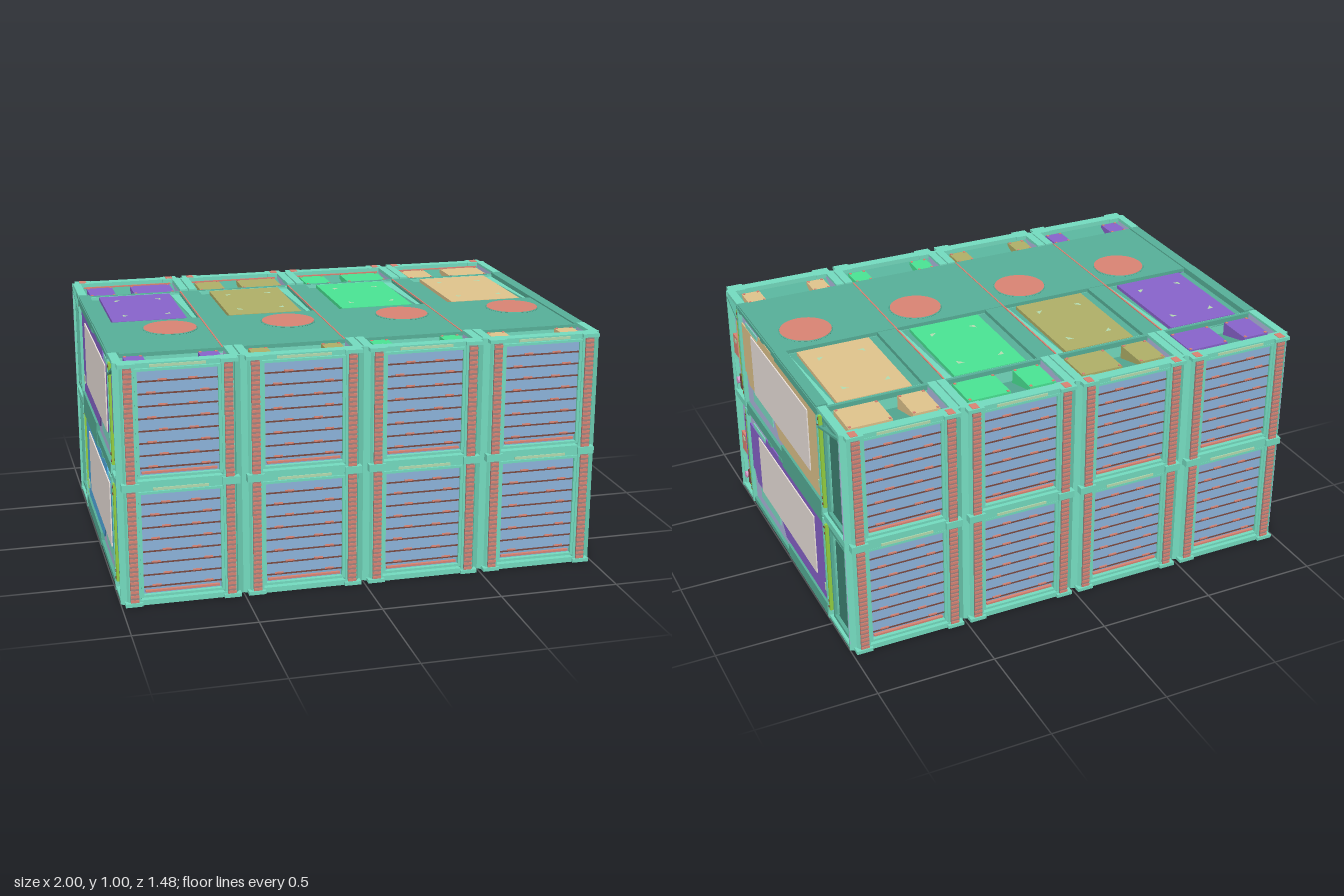
import * as THREE from 'three';
import { mergeGeometries } from 'three/addons/utils/BufferGeometryUtils.js';

const C = { teal: 0x74dcc0, dark: 0x57b099, deep: 0x3f8474, blue: 0x88aed4, red: 0xda8474, brown: 0x7a4a42, lilac: 0xb0bae0,
  lime: 0x94d040, mint: 0x80e0c8, pale: 0xb4dcb0, white: 0xeee4de, pink: 0xd89ccc, strip: 0xa08480 };
const UNIT_COLORS = [0x8864cc, 0xb0b068, 0x4ae494, 0xe0c48c];
const mats = {};
const mat = (color) => mats[color] ??= new THREE.MeshStandardMaterial({ color, side: THREE.DoubleSide, flatShading: true });

function mesh(parent, name, color, geo) {
  const m = new THREE.Mesh(Array.isArray(geo) ? mergeGeometries(geo) : geo, mat(color));
  m.name = name;
  parent.add(m);
}
// Box given by its limits on each axis
function box(x0, x1, y0, y1, z0, z1) {
  return new THREE.BoxGeometry(Math.abs(x1 - x0), Math.abs(y1 - y0), Math.abs(z1 - z0))
    .translate((x0 + x1) / 2, (y0 + y1) / 2, (z0 + z1) / 2);
}
function shapeOf(points) {
  return new THREE.Shape(points.map(([x, y]) => new THREE.Vector2(x, y)));
}
// Plan outline (x, z) extruded upwards
function prism(points, y0, y1) {
  return new THREE.ExtrudeGeometry(shapeOf(points.map(([x, z]) => [x, -z])), { depth: y1 - y0, bevelEnabled: false })
    .rotateX(-Math.PI / 2).translate(0, y0, 0);
}
// Side outline (z, y) extruded along x from x0 to x1
function sidePlate(points, x0, x1) {
  return new THREE.ExtrudeGeometry(shapeOf(points.map(([z, y]) => [-z, y])), { depth: x1 - x0, bevelEnabled: false })
    .rotateY(Math.PI / 2).translate(x0, 0, 0);
}

// Louvred end of one unit, facing +z; zi is the plane of its bulkhead
function unitEnd(zi) {
  const g = new THREE.Group();
  const posts = [], ribs = [], strips = [];
  for (const s of [-1, 1]) {
    posts.push(prism([[0.165, 0.7], [0.17, 0.728], [0.218, 0.728], [0.226, 0.714], [0.25, 0.70], [0.25, 0.69], [0.2, 0.685]]
      .map(([x, z]) => [s * x, z]), 0, 0.5));
    strips.push(box(s * 0.18, s * 0.214, 0.012, 0.49, 0.72, 0.736));
    for (let i = 0; i < 24; i++) ribs.push(box(s * 0.18, s * 0.214, 0.018 + i * 0.0195, 0.028 + i * 0.0195, 0.72, 0.739));
  }
  mesh(g, 'cornerPosts', C.teal, posts);
  mesh(g, 'postStrips', C.strip, strips);
  mesh(g, 'postRibs', C.red, ribs);

  // louvre panel: backing, tilted slats, lower edge lines, small clips
  mesh(g, 'louvreBacking', C.blue, box(-0.165, 0.165, 0.03, 0.47, 0.694, 0.706));
  const slats = [], lines = [], clips = [];
  for (let i = 0; i < 8; i++) {
    const y = 0.075 + i * 0.05;
    slats.push(new THREE.BoxGeometry(0.316, 0.044, 0.006).rotateX(-0.1).translate(0, y + 0.022, 0.71));
    lines.push(box(-0.158, 0.158, y - 0.006, y, 0.7, 0.717));
    const dx = i % 2 ? 0.06 : 0.105;
    for (const s of [-1, 1]) clips.push(box(s * dx - 0.018, s * dx + 0.018, y, y + 0.006, 0.7, 0.72));
  }
  mesh(g, 'louvreSlats', C.blue, slats);
  mesh(g, 'slatEdges', C.brown, lines);
  mesh(g, 'slatClips', C.red, clips);
  mesh(g, 'louvreFrame', C.teal, [
    box(-0.17, -0.158, 0.03, 0.475, 0.69, 0.724), box(0.158, 0.17, 0.03, 0.475, 0.69, 0.724),
    box(-0.17, 0.17, 0.465, 0.475, 0.69, 0.724), box(-0.17, 0.17, 0.03, 0.04, 0.69, 0.724)]);
  mesh(g, 'lowerBar', C.red, box(-0.15, 0.15, 0.048, 0.056, 0.7, 0.718));

  // horizontal rails, corner blocks and bay walls
  const frame = [box(-0.215, 0.215, 0.48, 0.5, 0.685, 0.73), box(-0.215, 0.215, 0, 0.022, 0.685, 0.73),
    box(-0.25, 0.25, 0, 0.49, zi - 0.015, zi)];
  for (const s of [-1, 1]) {
    for (const y of [0, 0.485]) {
      frame.push(box(s * 0.165, s * 0.235, y, y + 0.015, 0.68, 0.742), box(s * 0.212, s * 0.247, y, y + 0.015, zi, 0.7));
    }
  }
  mesh(g, 'endFrame', C.teal, frame);
  mesh(g, 'topGrip', C.pale, box(-0.11, 0.11, 0.483, 0.494, 0.72, 0.734));
  mesh(g, 'bayWalls', C.lilac, [box(-0.222, -0.212, 0, 0.49, zi, 0.7), box(0.212, 0.222, 0, 0.49, zi, 0.7)]);
  // sloped bay floor, ledge and uprights on the hollow side of the bulkhead
  mesh(g, 'bayFloor', C.dark, sidePlate([[zi, 0.09], [0.69, 0.025], [0.69, 0.035], [zi, 0.1]], -0.215, 0.215));
  mesh(g, 'innerLedge', C.dark, box(-0.222, 0.222, 0.02, 0.04, zi - 0.07, zi - 0.01));
  mesh(g, 'innerUprights', C.lilac, [box(-0.22, -0.198, 0, 0.47, zi - 0.04, zi), box(0.198, 0.22, 0, 0.47, zi - 0.04, zi)]);
  return g;
}

// Outer wall of a unit, built for the +x side
function sideWall(color) {
  const g = new THREE.Group();
  mesh(g, 'sideBacking', C.lilac, box(0.222, 0.232, 0.02, 0.49, -0.46, 0.55));
  mesh(g, 'sidePanel', color, sidePlate([[0.62, 0.415], [0.32, 0.415], [0.3, 0.452], [-0.45, 0.452], [-0.45, 0.06],
    [0.1, 0.06], [0.155, 0.13], [0.485, 0.13], [0.515, 0.18], [0.62, 0.18]], 0.218, 0.238));
  mesh(g, 'coverPanel', C.white, box(0.236, 0.243, 0.13, 0.41, -0.31, 0.4));
  mesh(g, 'sidePatches', C.mint, [box(0.23, 0.236, 0.07, 0.13, 0.185, 0.445), box(0.23, 0.236, 0.415, 0.438, 0.33, 0.485)]);
  mesh(g, 'smallTags', C.pale, [box(0.236, 0.241, 0.105, 0.14, -0.435, -0.4), box(0.22, 0.236, 0.155, 0.178, 0.575, 0.62)]);
  mesh(g, 'uprightBars', C.lime, [box(0.225, 0.247, 0.045, 0.465, 0.548, 0.572), box(0.225, 0.247, 0.045, 0.465, -0.472, -0.445)]);
  const bolts = [];
  for (const z of [0.56, -0.459]) for (const y of [0.06, 0.09, 0.42, 0.45]) {
    bolts.push(new THREE.CylinderGeometry(0.006, 0.006, 0.004, 8).rotateZ(Math.PI / 2).translate(0.248, y, z));
  }
  mesh(g, 'barBolts', C.brown, bolts);
  const rails = [box(0.2, 0.247, 0.455, 0.5, -0.45, 0.05), box(0.2, 0.247, 0, 0.058, -0.45, 0.05),
    box(0.2, 0.245, 0.478, 0.5, 0.05, 0.55), box(0.2, 0.245, 0, 0.024, 0.05, 0.55)];
  for (const z of [0.53, 0.22, 0.08]) rails.push(box(0.225, 0.247, 0.465, 0.48, z - 0.02, z + 0.02));
  mesh(g, 'sideRails', C.dark, rails);

  // fittings in the front bay
  mesh(g, 'redFitting', C.red, box(0.215, 0.238, 0.2, 0.295, 0.63, 0.688));
  mesh(g, 'darkFitting', C.brown, box(0.215, 0.238, 0.045, 0.115, 0.585, 0.637));
  mesh(g, 'fittingTag', C.pale, box(0.236, 0.241, 0.265, 0.282, 0.64, 0.66));
  mesh(g, 'roundFitting', C.pink, new THREE.CylinderGeometry(0.016, 0.016, 0.025, 16).rotateZ(Math.PI / 2).translate(0.228, 0.065, 0.675));
  mesh(g, 'frontBrace', C.teal, sidePlate([[0.7, 0.02], [0.672, 0.02], [0.692, 0.2], [0.692, 0.48], [0.7, 0.48]], 0.22, 0.24));

  // recessed pocket in the rear bay: sloped rim around a sunken floor
  const rim = shapeOf([[-0.102, -0.222], [0.102, -0.222], [0.102, 0.222], [-0.102, 0.222]]);
  rim.holes.push(shapeOf([[-0.09, -0.207], [-0.09, 0.207], [0.09, 0.207], [0.09, -0.207]]));
  mesh(g, 'pocketRim', C.dark, new THREE.ExtrudeGeometry(rim, { depth: 0.018, bevelEnabled: false })
    .rotateY(Math.PI / 2).translate(0.222, 0.25, -0.595));
  mesh(g, 'pocketFloor', C.deep, box(0.222, 0.226, 0.045, 0.455, -0.685, -0.505));
  mesh(g, 'pocketLining', C.teal, [
    sidePlate([[-0.505, 0.457], [-0.685, 0.457], [-0.665, 0.43], [-0.525, 0.43]], 0.222, 0.229),
    sidePlate([[-0.505, 0.043], [-0.505, 0.457], [-0.525, 0.43], [-0.525, 0.055]], 0.222, 0.229)]);
  mesh(g, 'rearPostFace', C.lilac, box(0.246, 0.25, 0.03, 0.47, -0.701, -0.69));
  return g;
}

// Roof of an upper unit, with y measured from the base of the unit
function roof(color) {
  const g = new THREE.Group();
  mesh(g, 'roofPlate', C.dark, [box(-0.25, 0.25, 0.478, 0.494, 0.05, 0.555), box(-0.25, 0.25, 0.46, 0.475, -0.46, 0.05)]);
  mesh(g, 'roofSeam', C.red, box(0.207, 0.213, 0.49, 0.496, -0.45, 0.55));
  mesh(g, 'roofRails', C.dark, [box(-0.25, -0.205, 0.47, 0.492, -0.46, 0.05), box(0.205, 0.25, 0.47, 0.492, -0.46, 0.05),
    box(-0.25, 0.25, 0.47, 0.492, -0.465, -0.45)]);
  mesh(g, 'roofSlope', C.teal, prism([[0.165, -0.445], [0.205, -0.445], [0.205, 0.05], [0.19, 0.05]], 0.472, 0.481));
  mesh(g, 'roofPanel', color, box(-0.158, 0.158, 0.47, 0.49, -0.44, 0.028));
  // triangular marks, each with its right angle towards a panel corner
  const marks = [];
  for (const [x, z, turn] of [[-0.09, -0.34, 0], [-0.09, -0.07, 1], [0.09, -0.07, 2], [0.09, -0.34, 3]]) {
    marks.push(new THREE.ShapeGeometry(shapeOf([[-0.012, 0.012], [-0.012, -0.015], [0.015, 0.012]]))
      .rotateX(-Math.PI / 2).rotateY(turn * Math.PI / 2).translate(x, 0.491, z));
  }
  mesh(g, 'cornerMarks', C.pale, marks);
  mesh(g, 'roundHatch', C.red, new THREE.CylinderGeometry(0.11, 0.11, 0.01, 40).translate(0.058, 0.493, 0.2));
  mesh(g, 'hatchRing', C.dark, new THREE.TorusGeometry(0.112, 0.003, 6, 40).rotateX(Math.PI / 2).translate(0.058, 0.495, 0.2));

  // sloped bay covers with raised pads
  const slope = (a, b) => sidePlate([[a, 0.41], [b, 0.47], [b, 0.48], [a, 0.42]], -0.25, 0.25);
  mesh(g, 'bayCovers', C.dark, [slope(0.55, 0.69), slope(-0.46, -0.69)]);
  const pads = [[-0.19, -0.112, 0.565, 0.67], [0.108, 0.188, 0.565, 0.67], [-0.19, -0.075, -0.645, -0.485], [0.008, 0.19, -0.645, -0.485]];
  mesh(g, 'bayPads', color, pads.map(([a, b, c, d]) => box(a, b, 0.42, 0.485, c, d)));
  const studs = [];
  for (const [a, b, c, d] of pads) for (const x of [a + 0.008, b - 0.008]) for (const z of [c + 0.008, d - 0.008]) {
    studs.push(box(x - 0.005, x + 0.005, 0.484, 0.488, z - 0.005, z + 0.005));
  }
  mesh(g, 'padStuds', C.red, studs);
  mesh(g, 'bayTrim', C.red, [box(-0.2, 0.2, 0.48, 0.486, -0.672, -0.666), box(-0.2, 0.2, 0.48, 0.486, 0.69, 0.696)]);
  mesh(g, 'cornerPads', C.red, [-0.2, 0.2].map((x) => box(x - 0.015, x + 0.015, 0.495, 0.502, -0.735, -0.695)));
  return g;
}

export function createModel() {
  const model = new THREE.Group();
  model.name = 'stackedContainers';
  for (let row = 0; row < 2; row++) {
    for (let col = 0; col < 4; col++) {
      const unit = new THREE.Group();
      unit.name = 'containerUnit';
      unit.position.set(-0.75 + col * 0.5, row * 0.5, 0);
      const front = unitEnd(0.55), back = unitEnd(0.46);
      front.name = 'frontEnd';
      back.name = 'backEnd';
      back.rotation.y = Math.PI;
      unit.add(front, back);
      if (row === 1) {
        const top = roof(UNIT_COLORS[col]);
        top.name = 'roof';
        unit.add(top);
        // link between neighbouring units
        if (col < 3) mesh(unit, 'unitLink', C.deep, box(0.225, 0.275, 0.44, 0.48, -0.6, -0.545));
      }
      // only the outermost columns carry side walls
      if (col === 0 || col === 3) {
        const lower = col === 0 ? 0x52aee6 : UNIT_COLORS[0];
        const wall = sideWall(row === 1 ? UNIT_COLORS[col] : lower);
        wall.name = 'sideWall';
        if (col === 0) wall.scale.x = -1;
        unit.add(wall);
      }
      model.add(unit);
    }
  }
  return model;
}
